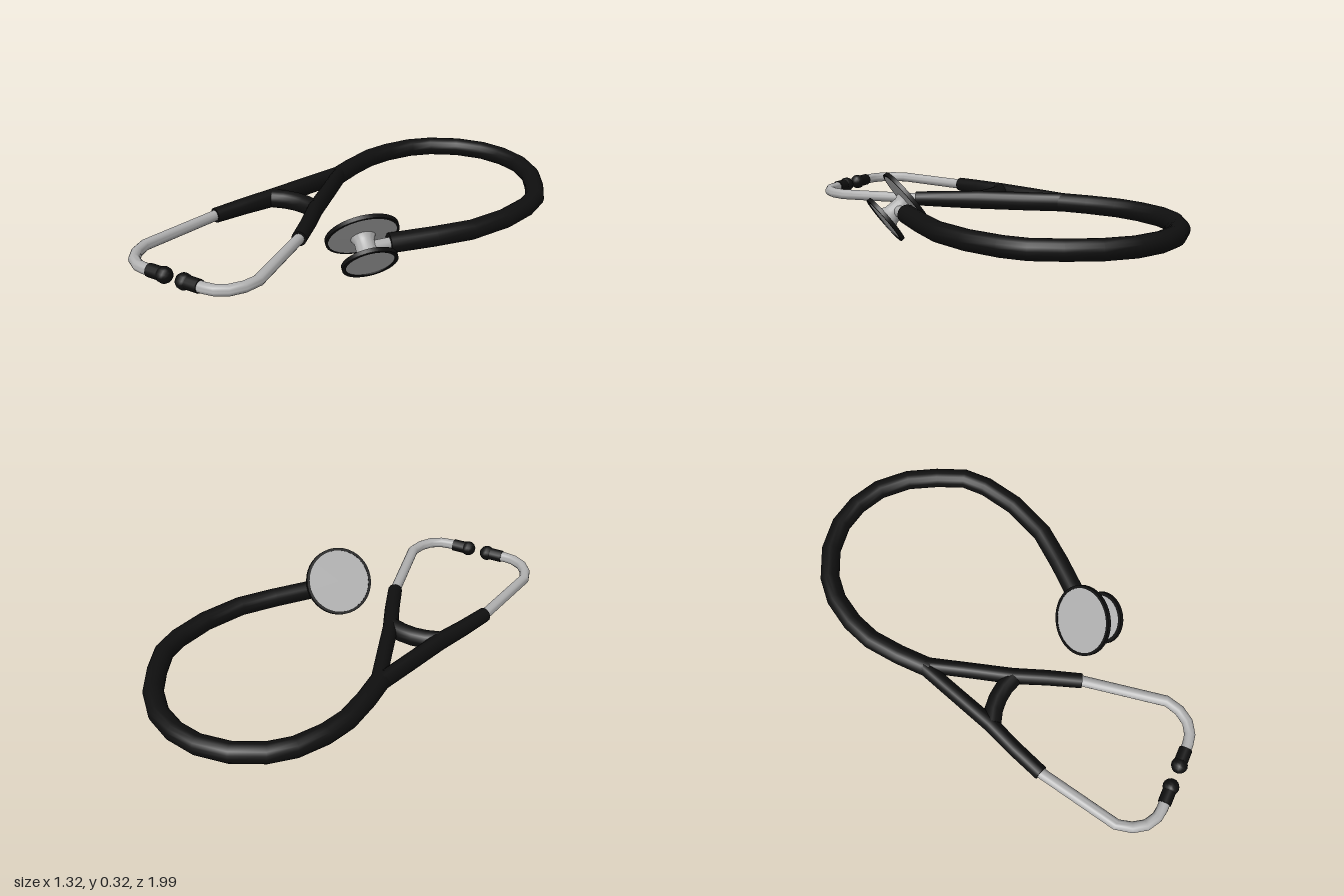
import * as THREE from 'three';
import { toCreasedNormals } from 'three/addons/utils/BufferGeometryUtils.js';

const H = 0.15; // height of the tubing's centre line
const MID = -0.338; // x of the headset's mirror plane

// Sweep an oval section along a flat path of [x, z, halfWidth, halfHeight], ends closed
function sweep(path, sides = 16) {
  const up = new THREE.Vector3(0, 1, 0);
  const pts = path.map(([x, z]) => new THREE.Vector3(x, H, z));
  const pos = [], index = [];
  const ring = (i, s) => {
    const a = pts[Math.max(i - 1, 0)], b = pts[Math.min(i + 1, pts.length - 1)];
    const side = up.clone().cross(b.clone().sub(a).normalize());
    const [, , w, h = w] = path[i];
    for (let j = 0; j < sides; j++) {
      const t = (j / sides) * Math.PI * 2;
      const p = pts[i].clone().addScaledVector(side, Math.cos(t) * w * s);
      pos.push(p.x, p.y + Math.sin(t) * h * s, p.z);
    }
  };
  ring(0, 0.001);
  pts.forEach((_, i) => ring(i, 1));
  ring(pts.length - 1, 0.001);
  for (let i = 0; i < pts.length + 1; i++) {
    for (let j = 0; j < sides; j++) {
      const k = (j + 1) % sides;
      const a = i * sides + j, b = i * sides + k, c = a + sides, d = b + sides;
      index.push(a, b, c, b, d, c);
    }
  }
  const g = new THREE.BufferGeometry();
  g.setAttribute('position', new THREE.Float32BufferAttribute(pos, 3));
  g.setIndex(index);
  return toCreasedNormals(g, 0.8);
}

function lathe(profile) {
  const g = new THREE.LatheGeometry(profile.map(([x, y]) => new THREE.Vector2(x, y)), 40);
  return toCreasedNormals(g, 0.5);
}

export function createModel() {
  const model = new THREE.Group();
  model.name = 'stethoscope';
  const rubber = new THREE.MeshStandardMaterial({ color: 0x0f0f0f });
  rubber.name = 'black rubber';
  const metal = new THREE.MeshStandardMaterial({ color: 0xb0b0b0 });
  metal.name = 'grey metal';

  const add = (parent, name, geometry, material) => {
    const mesh = new THREE.Mesh(geometry, material);
    mesh.name = name;
    parent.add(mesh);
    return mesh;
  };

  // Long looping tube
  const loop = [
    [MID, -0.24], [MID, -0.4], [-0.325, -0.55], [-0.285, -0.67], [-0.215, -0.79],
    [-0.13, -0.87], [0, -0.933], [0.14, -0.953], [0.265, -0.93], [0.385, -0.87],
    [0.49, -0.765], [0.56, -0.64], [0.612, -0.515], [0.615, -0.4], [0.58, -0.23],
    [0.5, -0.05], [0.39, 0.09], [0.25, 0.25],
  ];
  add(model, 'mainTube', sweep(loop.map(([x, z]) => [x, z, 0.045])), rubber);

  // Bridge between the two arms
  add(model, 'yokeBridge', sweep([-2, -1, 0, 1, 2].map((i) =>
    [MID + i * 0.058, 0.1 + i * i * 0.006, 0.042, 0.044])), rubber);

  // Headset: yoke arm, ear tube and ear tip on both sides
  for (const s of [1, -1]) {
    const side = new THREE.Group();
    side.name = s > 0 ? 'leftEarpiece' : 'rightEarpiece';
    model.add(side);
    const mirror = (path) => path.map(([x, ...rest]) => [MID + s * x, ...rest]);

    add(side, 'yokeArm', sweep(mirror([
      [0.005, -0.27, 0.035, 0.044], [0.06, -0.09, 0.035, 0.045],
      [0.123, 0.12, 0.036, 0.045], [0.18, 0.265, 0.035, 0.04], [0.232, 0.415, 0.034, 0.035],
    ])), rubber);

    add(side, 'earTube', sweep(mirror([
      [0.225, 0.38], [0.302, 0.8], [0.285, 0.868], [0.25, 0.92],
      [0.2, 0.95], [0.155, 0.957], [0.11, 0.957],
    ].map((p) => [...p, 0.025]))), metal);

    const collar = add(side, 'earTipCollar', new THREE.CylinderGeometry(0.03, 0.03, 0.065, 12), rubber);
    collar.rotation.z = Math.PI / 2;
    collar.position.set(MID + s * 0.1, H, 0.957);
    const tip = add(side, 'earTip', new THREE.SphereGeometry(0.037, 12, 8), rubber);
    tip.rotation.z = Math.PI / 2;
    tip.position.set(MID + s * 0.052, H, 0.957);
  }

  // Tilted double-sided chest piece
  const chest = new THREE.Group();
  chest.name = 'chestPiece';
  chest.position.set(0.19, H, 0.342);
  chest.quaternion.setFromUnitVectors(
    new THREE.Vector3(0, 1, 0), new THREE.Vector3(-0.6, 0.6, -0.53).normalize());
  model.add(chest);
  add(chest, 'chestBody', lathe([
    [0, -0.073], [0.11, -0.073], [0.11, -0.06], [0.055, -0.054], [0.044, -0.03],
    [0.044, 0.03], [0.055, 0.052], [0.152, 0.058], [0.152, 0.075], [0, 0.075],
  ]), metal);
  const rim = (inner, outer, low, high) =>
    lathe([[inner, low], [outer, low], [outer, high], [inner, high], [inner, low]]);
  add(chest, 'largeRim', rim(0.151, 0.164, 0.058, 0.077), rubber);
  add(chest, 'smallRim', rim(0.107, 0.123, -0.077, -0.058), rubber);

  // Metal stem joining the chest piece to the tube
  add(model, 'chestStem', sweep([[0.27, 0.23, 0.028], [0.19, 0.342, 0.028]]), metal);

  return model;
}
